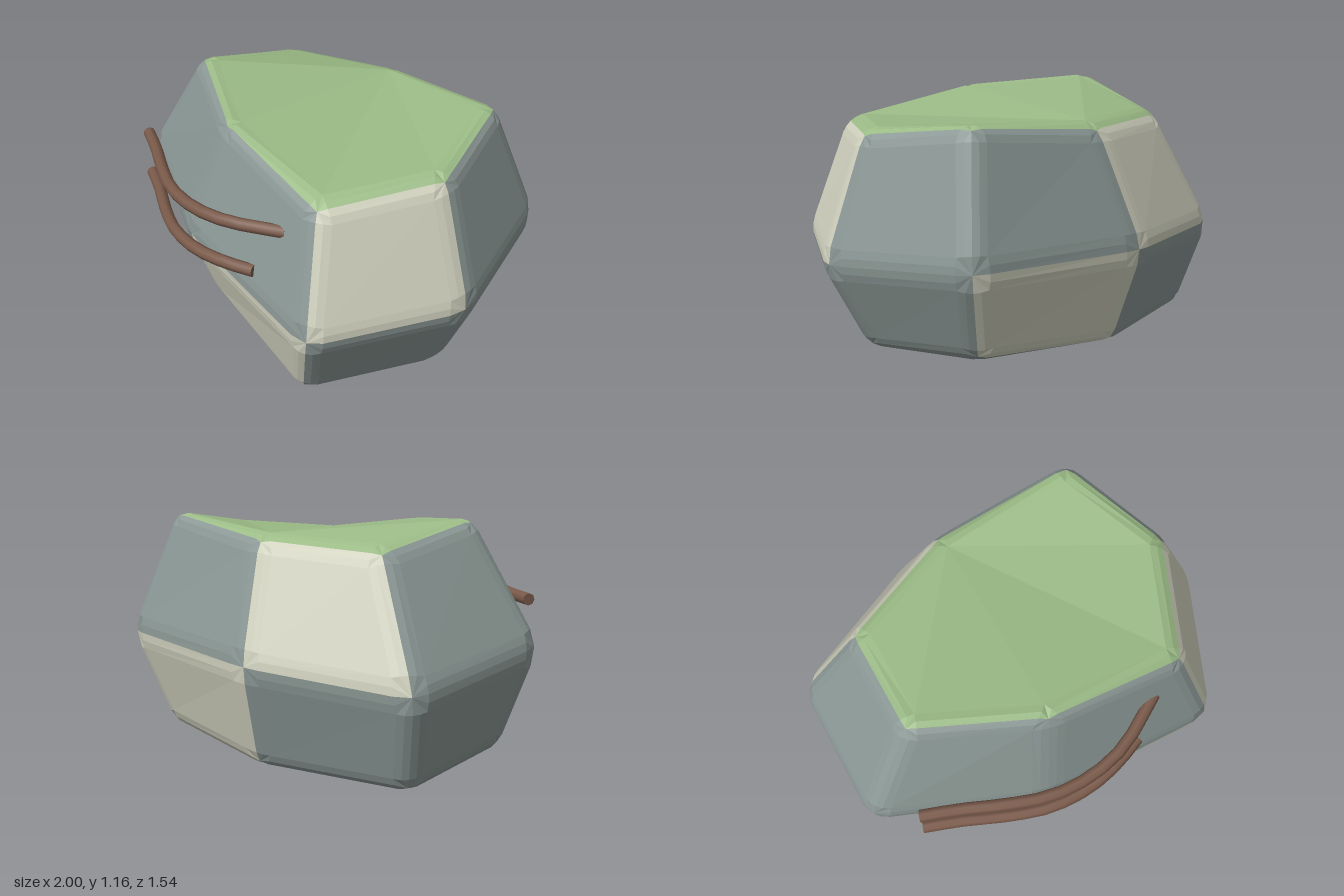
import * as THREE from 'three';

const SEG = 4;       // strips per bevel
const BEVEL = 0.08;  // bevel width on each side of an edge

// Three rings of seven corners, counter-clockwise seen from above, from the front-left corner
const bottom = [[-0.88, 0.12, 0.26], [-0.22, 0.115, 0.51], [0.55, -0.02, 0.53], [0.81, 0.04, -0.07],
  [0.57, 0.11, -0.63], [-0.19, 0.025, -0.63], [-0.89, -0.01, -0.32]];
const middle = [[-1.0, 0.6, 0.4], [-0.18, 0.54, 0.68], [0.76, 0.45, 0.66], [1.035, 0.49, -0.06],
  [0.7, 0.58, -0.79], [-0.26, 0.52, -0.765], [-1.02, 0.45, -0.41]];
const top = [[-0.69, 1.18, 0.25], [-0.09, 1.15, 0.49], [0.61, 1.035, 0.49], [0.82, 1.09, -0.07],
  [0.57, 1.185, -0.59], [-0.13, 1.085, -0.57], [-0.7, 1.045, -0.32]];

function buildRock(materials) {
  const V = [...bottom, ...middle, ...top].map(p => new THREE.Vector3(...p));
  const n = 7, faces = [];
  // Side panels; a few are pale
  for (let i = 0; i < n; i++) {
    const j = (i + 1) % n;
    faces.push({ ids: [i, j, n + j, n + i], part: i === 1 || i === 4 ? 'palePanels' : 'stoneBody' });
    faces.push({ ids: [n + i, n + j, 2 * n + j, 2 * n + i], part: i === 2 || i === 5 ? 'palePanels' : 'stoneBody' });
  }
  // Top and underside, each fanned out from its first corner
  const ring = [...Array(n).keys()];
  faces.push({ ids: ring.map(i => 2 * n + (i + 5) % n), part: 'mossTop' });
  faces.push({ ids: ring.map(i => (n + 3 - i) % n), part: 'stoneBody' });

  const buffers = { stoneBody: [], palePanels: [], mossTop: [] };
  const tri = (part, a, b, c) => { for (const p of [a, b, c]) buffers[part].push(p.x, p.y, p.z); };
  const mean = pts => pts.reduce((s, p) => s.add(p), new THREE.Vector3()).divideScalar(pts.length);

  // Flat panels, inset from their edges
  const halfEdges = new Map();
  for (const f of faces) {
    f.inset = {};
    f.ids.forEach((id, k) => {
      const next = f.ids[(k + 1) % f.ids.length], prev = f.ids.at(k - 1);
      const d1 = V[next].clone().sub(V[id]).normalize(), d2 = V[prev].clone().sub(V[id]).normalize();
      const sin = Math.sin(d1.angleTo(d2));
      f.inset[id] = V[id].clone().addScaledVector(d1.add(d2), BEVEL / sin);
      halfEdges.set(id + ',' + next, f);
    });
    const pts = f.ids.map(id => f.inset[id]);
    for (let k = 1; k < pts.length - 1; k++) tri(f.part, pts[0], pts[k], pts[k + 1]);
  }

  // Rounded cross-section at corner a of edge a-b, running from face f to face g
  function arc(a, b, f, g) {
    const p = f.inset[a], q = g.inset[a], dir = V[b].clone().sub(V[a]).normalize();
    const t = p.clone().add(q).multiplyScalar(0.5).sub(V[a]).dot(dir);
    const curve = new THREE.QuadraticBezierCurve3(p, V[a].clone().addScaledVector(dir, t), q);
    return curve.getPoints(SEG);
  }

  // Bevel strips and corner caps, each half coloured by its neighbouring panel
  for (const [key, f] of halfEdges) {
    const [a, b] = key.split(',').map(Number), g = halfEdges.get(b + ',' + a);
    const A = arc(a, b, f, g), B = arc(b, a, f, g);
    const around = faces.filter(h => h.inset[a]).map(h => h.inset[a]);
    const centre = mean(around).lerp(V[a], 0.45);
    for (let k = 0; k < SEG; k++) {
      const part = (k < SEG / 2 ? f : g).part;
      tri(part, centre, A[k + 1], A[k]);
      if (a < b) {
        tri(part, A[k + 1], B[k + 1], B[k]);
        tri(part, A[k + 1], B[k], A[k]);
      }
    }
  }

  const rock = new THREE.Group();
  rock.name = 'rock';
  for (const [name, data] of Object.entries(buffers)) {
    const geo = new THREE.BufferGeometry();
    geo.setAttribute('position', new THREE.Float32BufferAttribute(data, 3));
    geo.computeVertexNormals();
    const mesh = new THREE.Mesh(geo, materials[name]);
    mesh.name = name;
    rock.add(mesh);
  }
  return rock;
}

// Bent twig with flat cut ends
function buildTwig(name, points, material) {
  const radius = 0.03;
  const curve = new THREE.CatmullRomCurve3(points.map(p => new THREE.Vector3(...p)));
  const twig = new THREE.Group();
  twig.name = name;
  const stem = new THREE.Mesh(new THREE.TubeGeometry(curve, 12, radius, 8), material);
  stem.name = 'twigStem';
  twig.add(stem);
  for (const t of [0, 1]) {
    const cap = new THREE.Mesh(new THREE.CircleGeometry(radius, 8), material);
    const out = curve.getTangent(t).multiplyScalar(t ? 1 : -1);
    cap.quaternion.setFromUnitVectors(new THREE.Vector3(0, 0, 1), out);
    cap.position.copy(curve.getPoint(t));
    cap.name = 'twigEnd';
    twig.add(cap);
  }
  return twig;
}

export function createModel() {
  const paint = (color, flatShading = true) => new THREE.MeshStandardMaterial({ color, flatShading });
  const model = new THREE.Group();
  model.name = 'mossyRock';
  model.add(buildRock({
    stoneBody: paint(0x8a9794), palePanels: paint(0xcfd0bd), mossTop: paint(0x9bbb86),
  }));
  const bark = paint(0x7a5a4a, false);
  model.add(buildTwig('upperTwig', [[-0.78, 0.775, 0.53], [-0.6, 0.785, 0.59], [-0.4, 0.8, 0.67],
    [-0.2, 0.81, 0.73], [0, 0.82, 0.735], [0.2, 0.835, 0.685], [0.45, 0.85, 0.53]], bark));
  model.add(buildTwig('lowerTwig', [[-0.78, 0.54, 0.53], [-0.6, 0.55, 0.59], [-0.4, 0.56, 0.67],
    [-0.2, 0.575, 0.73], [0, 0.585, 0.735], [0.18, 0.6, 0.695], [0.33, 0.61, 0.63]], bark));
  return model;
}
